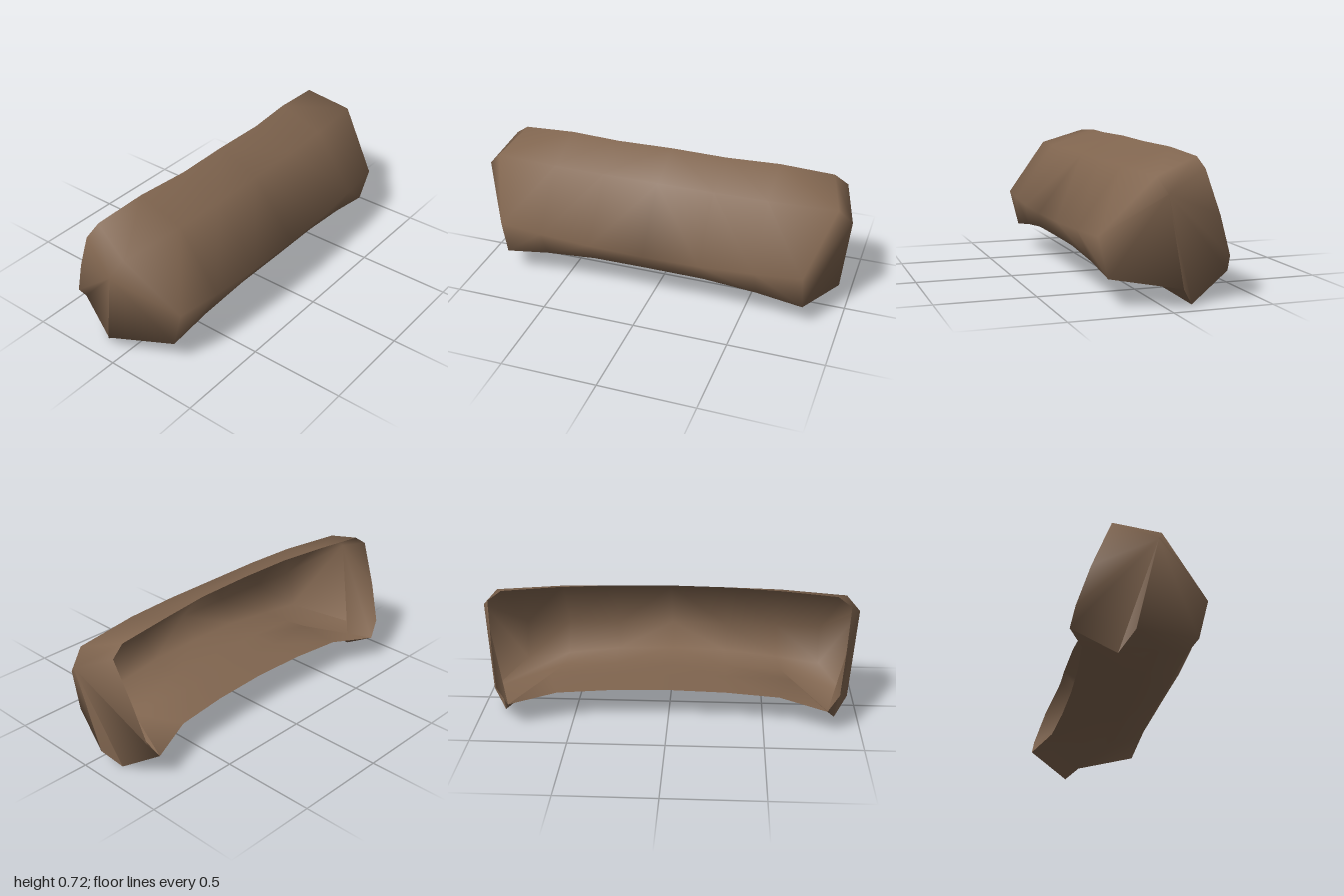
import * as THREE from 'three';
import { toCreasedNormals } from 'three/addons/utils/BufferGeometryUtils.js';

// Open cross-sections from the middle to the +x end, each [x, y, z], in the order:
// back top, front top, nose, lower front, underside, foot front, back bottom
const HALF = [
  [[0, .72, -.12], [0, .63, .11], [0, .325, .35], [0, .205, .265], [0, .18, .1], [0, .18, -.04], [0, .18, -.23]],
  [[.3, .715, -.12], [.3, .63, .11], [.3, .325, .343], [.3, .2, .26], [.3, .176, .1], [.3, .176, -.04], [.3, .176, -.238]],
  [[.58, .71, -.15], [.58, .627, .1], [.58, .33, .325], [.58, .17, .25], [.6, .16, .1], [.66, .135, .02], [.58, .165, -.26]],
  [[.86, .69, -.165], [.93, .615, .06], [.82, .335, .3], [.82, .135, .25], [.95, .092, -.07], [.88, 0, -.14], [.82, .135, -.35]],
];
const SHOULDER = [1, .54, .03];                            // outermost corner of each end
const FLANGE = [[.88, .22, -.333], [.905, .42, -.268], [.93, .64, -.178]]; // back edge of each end

const mirror = ([x, y, z]) => [-x, y, z];

function shellGeometry() {
  const pos = [];
  // Adds a triangle and its mirror image
  const tri = (a, b, c) => {
    pos.push(...a, ...b, ...c);
    pos.push(...mirror(a), ...mirror(c), ...mirror(b));
  };

  // Skin between neighbouring cross-sections, open at the back
  for (let i = 0; i < HALF.length - 1; i++) {
    const p = HALF[i], q = HALF[i + 1];
    for (let j = 0; j < p.length - 1; j++) {
      tri(p[j], p[j + 1], q[j + 1]);
      tri(p[j], q[j + 1], q[j]);
    }
  }

  // Folded ends with their rear flanges, fanned out from the shoulder corner
  const rim = [...HALF[HALF.length - 1], ...FLANGE];
  rim.forEach((a, j) => tri(SHOULDER, a, rim[(j + 1) % rim.length]));

  const geometry = new THREE.BufferGeometry();
  geometry.setAttribute('position', new THREE.Float32BufferAttribute(pos, 3));
  return toCreasedNormals(geometry, 1.6);
}

export function createModel() {
  const group = new THREE.Group();
  group.name = 'curvedGuard';
  const brown = new THREE.MeshStandardMaterial({ color: 0x80654f, side: THREE.DoubleSide });
  brown.name = 'brown';
  const shell = new THREE.Mesh(shellGeometry(), brown);
  shell.name = 'guardShell';
  group.add(shell);
  return group;
}
